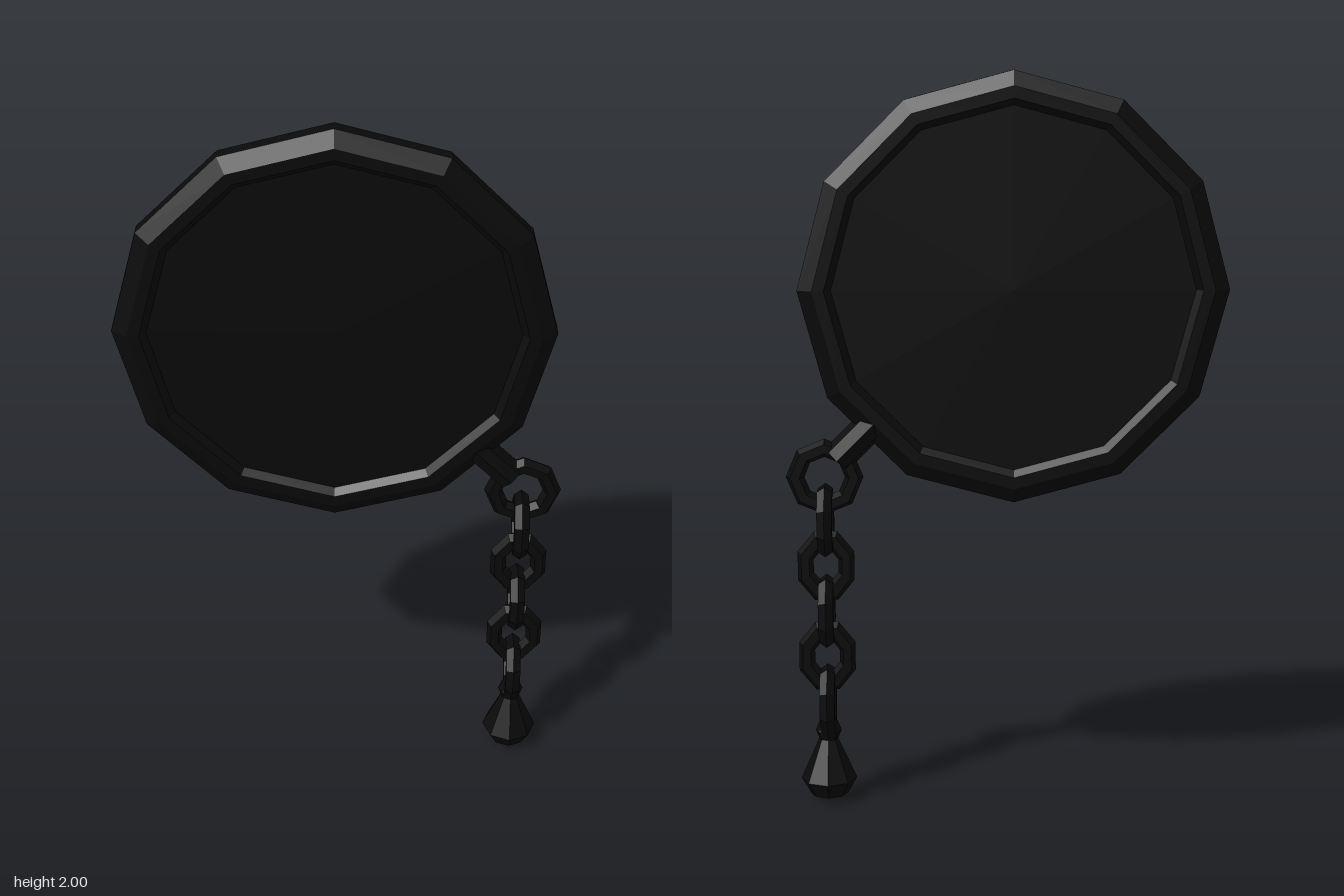
import * as THREE from 'three';

const black = new THREE.MeshStandardMaterial({ color: 0x0a0a0a, flatShading: true });
const CHAIN_X = 0.49;

function add(parent, name, geometry, x, y, z = 0) {
  const mesh = new THREE.Mesh(geometry, black);
  mesh.name = name;
  mesh.position.set(x, y, z);
  parent.add(mesh);
  return mesh;
}

function lathe(points, sides) {
  return new THREE.LatheGeometry(points.map(([r, y]) => new THREE.Vector2(r, y)), sides);
}

export function createModel() {
  const model = new THREE.Group();
  model.name = 'monocle';

  // Twelve-sided rim with chamfered edges, turned to face the front
  const rim = lathe([
    [0.487, -0.026], [0.505, -0.044], [0.537, -0.044], [0.578, -0.018],
    [0.578, 0.018], [0.537, 0.044], [0.505, 0.044], [0.487, 0.026], [0.487, -0.026],
  ], 12);
  add(model, 'rim', rim.rotateX(Math.PI / 2), -0.022, 1.423);

  // Flat lens filling the rim
  const lens = new THREE.CylinderGeometry(0.495, 0.495, 0.05, 12);
  add(model, 'lens', lens.rotateX(Math.PI / 2), -0.022, 1.423);

  // Short post joining rim and ring
  const post = add(model, 'post', new THREE.CylinderGeometry(0.043, 0.043, 0.17, 8), 0.395, 1.025);
  post.rotation.z = Math.PI / 4;

  // Ring that carries the chain
  add(model, 'ring', new THREE.TorusGeometry(0.08, 0.025, 6, 8), CHAIN_X, 0.915);

  // Oval links, alternating a quarter turn
  const link = new THREE.TorusGeometry(0.06, 0.0235, 6, 8).rotateZ(Math.PI / 8).scale(1, 1.25, 1);
  for (let i = 0; i < 5; i++) {
    const mesh = add(model, 'chainLink' + (i + 1), link, CHAIN_X, 0.795 - i * 0.1275);
    if (i % 2 === 0) mesh.rotation.y = Math.PI / 2;
  }

  // Bead and teardrop weight at the end
  add(model, 'bead', new THREE.SphereGeometry(0.036, 8, 4), CHAIN_X, 0.2);
  const weight = lathe([[0, 0], [0.052, 0.018], [0.077, 0.062], [0.018, 0.195], [0, 0.2]], 8);
  add(model, 'weight', weight, CHAIN_X, 0);

  return model;
}
